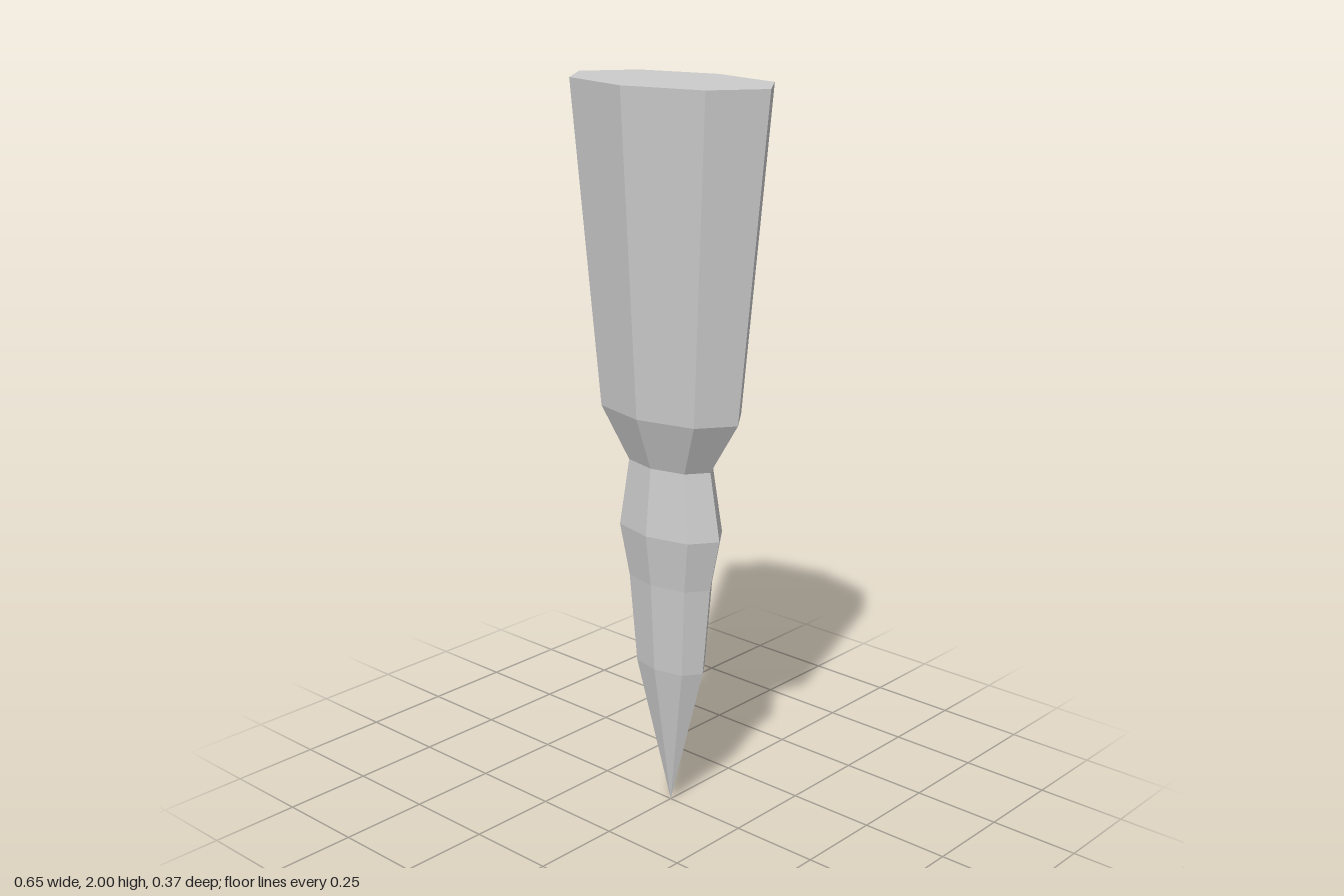
import * as THREE from 'three';

export function createModel() {
  const group = new THREE.Group();
  const material = new THREE.MeshStandardMaterial({ color: 0xcccccc, flatShading: true });

  // Outline from the pointed tip up to the closed flat top: [radius, height]
  const outline = [
    [0, 0], [0.117, 0.42], [0.141, 0.67], [0.173, 0.815],
    [0.14, 1.0], [0.232, 1.145], [0.323, 2], [0, 2],
  ].map(([r, y]) => new THREE.Vector2(r, y));

  // Eight-sided tapered leg, flattened front to back
  const geometry = new THREE.LatheGeometry(outline, 8);
  geometry.scale(1, 1, 0.567);
  geometry.computeVertexNormals();
  const leg = new THREE.Mesh(geometry, material);
  leg.name = 'taperedLeg';
  group.add(leg);

  return group;
}
